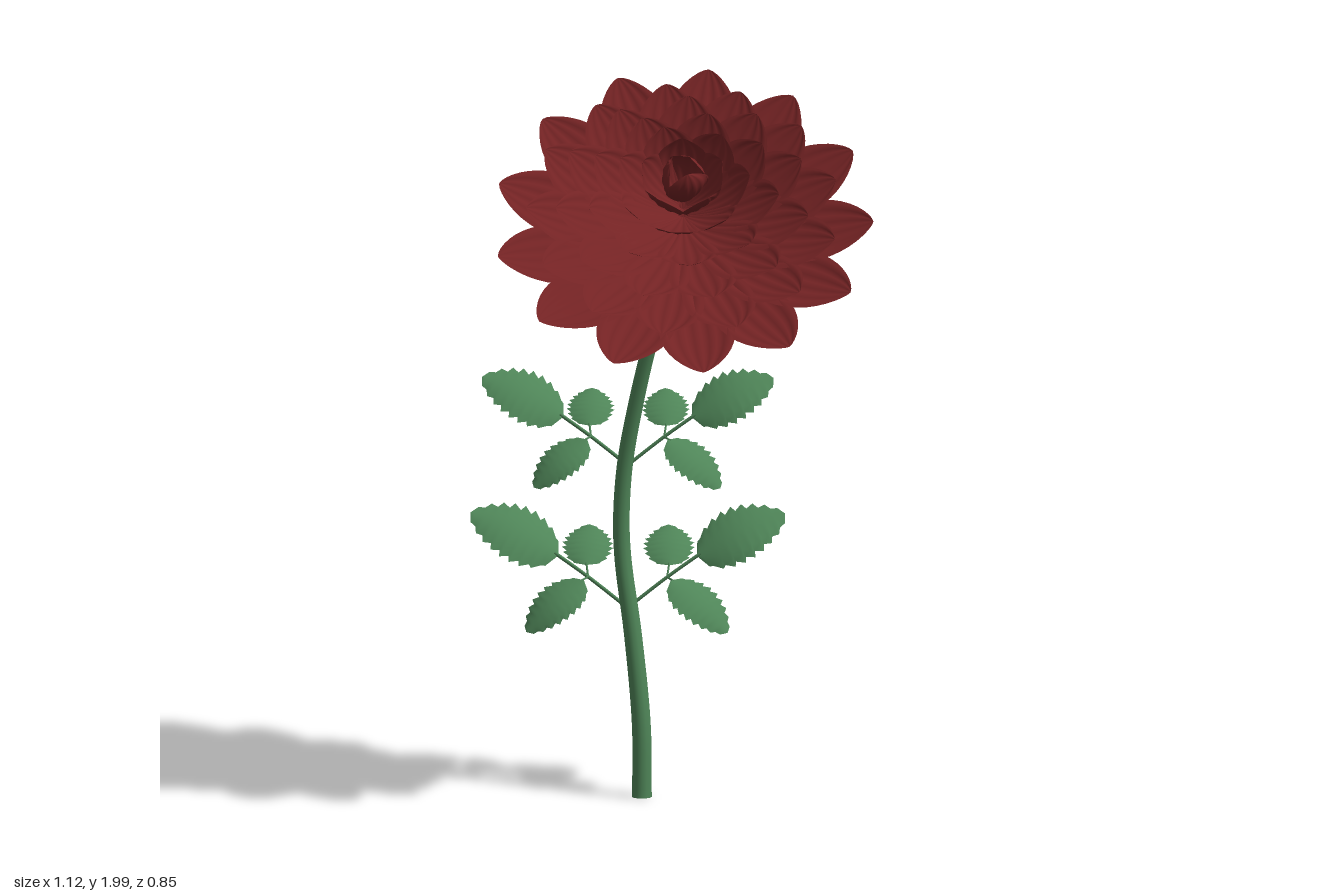
import * as THREE from 'three';

const red = new THREE.MeshStandardMaterial({ color: 0x742324, side: THREE.DoubleSide });
red.name = 'petal red';
const green = new THREE.MeshStandardMaterial({ color: 0x4f8558, side: THREE.DoubleSide });
green.name = 'leaf green';

const V = (x, y, z) => new THREE.Vector3(x, y, z);

// Smooth sheet from a rule: at(u in 0..1, v in -1..1) gives a point
function sheet(rows, cols, at) {
  const pos = [], index = [];
  for (let i = 0; i <= rows; i++) {
    for (let j = 0; j <= cols; j++) {
      pos.push(...at(i / rows, (j / cols) * 2 - 1, i).toArray());
      if (i < rows && j < cols) {
        const a = i * (cols + 1) + j, b = a + cols + 1;
        index.push(a, a + 1, b, a + 1, b + 1, b);
      }
    }
  }
  const g = new THREE.BufferGeometry();
  g.setAttribute('position', new THREE.Float32BufferAttribute(pos, 3));
  g.setIndex(index);
  g.computeVertexNormals();
  return g;
}

function add(parent, name, geometry, material) {
  const m = new THREE.Mesh(geometry, material);
  m.name = name;
  parent.add(m);
  return m;
}

// Tapered round stem along a curve
function taperedTube(points, r0, r1, segs) {
  const curve = new THREE.CatmullRomCurve3(points);
  const sides = 12;
  const g = new THREE.TubeGeometry(curve, segs, 1, sides, false);
  const p = g.attributes.position, c = V(), q = V();
  for (let i = 0; i <= segs; i++) {
    curve.getPointAt(i / segs, c);
    const r = r0 + (r1 - r0) * (i / segs);
    for (let j = 0; j <= sides; j++) {
      const k = i * (sides + 1) + j;
      q.fromBufferAttribute(p, k).sub(c).multiplyScalar(r).add(c);
      p.setXYZ(k, q.x, q.y, q.z);
    }
  }
  g.computeVertexNormals();
  return g;
}

// Cupped petal with lengthwise ridges, pointing along +x and rising in y
function petalGeometry({ tip, base, bend, width, cup }) {
  const curve = new THREE.QuadraticBezierCurve(
    new THREE.Vector2(0.01, base), new THREE.Vector2(...bend), new THREE.Vector2(...tip));
  return sheet(16, 20, (u, v) => {
    const t = 1 - Math.pow(1 - u, 1.7);
    const p = curve.getPoint(t), d = curve.getTangent(t);
    const w = width * Math.pow(Math.max(0, Math.sin(Math.PI * Math.pow(t, 1.55))), 0.66) + 0.012 * (1 - t);
    const lift = cup * w * v * v + 0.025 * w * Math.cos(v * Math.PI * 5);
    return V(p.x - d.y * lift, p.y + d.x * lift, v * w);
  });
}

// Toothed leaf from base to tip, facing along normal
function leafGeometry(base, tip, normal, halfWidth) {
  const along = tip.clone().sub(base);
  const side = along.clone().cross(normal).normalize();
  const up = side.clone().cross(along).normalize();
  const length = along.length(), teeth = 9;
  return sheet(teeth * 2, 8, (u, v, i) => {
    const outline = Math.pow(Math.max(0, Math.sin(Math.PI * Math.pow(u, 0.8))), 0.62);
    const w = halfWidth * outline * (i % 2 ? 1.08 : 0.88);
    const rise = length * 0.1 * Math.sin(Math.PI * u) - halfWidth * 0.22 * v * v * outline;
    return base.clone().addScaledVector(along, u + (i % 2 ? 0.03 * Math.abs(v) * outline : 0))
      .addScaledVector(side, v * w).addScaledVector(up, rise);
  });
}

// One branch with a large end leaf and two smaller side leaves
function leafBranch(origin, hand, scale) {
  const g = new THREE.Group();
  g.name = hand > 0 ? 'leftLeafBranch' : 'rightLeafBranch';
  const S = V(0.87, 0, -0.5).multiplyScalar(hand), F = V(0.5, 0, 0.87);
  const dir = (s, y, f) => V(0, y, 0).addScaledVector(S, s).addScaledVector(F, f);
  const at = (s, y, f) => dir(s, y, f).multiplyScalar(scale).add(origin);
  const stalk = (name, r, ...pts) =>
    add(g, name, new THREE.TubeGeometry(new THREE.CatmullRomCurve3(pts), 6, r, 6), green);
  const joint = at(0.1, 0.08, 0);
  stalk('branchStalk', 0.005, at(0, 0, 0), joint, at(0.185, 0.142, 0));
  stalk('lowerLeafStalk', 0.003, joint, at(0.115, 0.08, 0.042));
  stalk('backLeafStalk', 0.003, joint, at(0.105, 0.11, -0.03));
  const leaf = (name, a, b, n, w) =>
    add(g, name, leafGeometry(at(...a), at(...b), dir(...n), w * scale), green);
  leaf('endLeaf', [0.175, 0.135, 0], [0.398, 0.24, -0.03], [-0.3, 0.7, 0.65], 0.087);
  leaf('lowerLeaf', [0.11, 0.08, 0.04], [0.255, -0.045, 0.09], [0.5, 0.6, 0.6], 0.068);
  leaf('backLeaf', [0.105, 0.105, -0.025], [0.1, 0.18, -0.17], [0, 0.8, 0.6], 0.061);
  return g;
}

export function createModel() {
  const model = new THREE.Group();
  model.name = 'flower';

  // Stem
  const stemPoints = [
    V(-0.115, 0, -0.075), V(-0.12, 0.2, -0.08), V(-0.153, 0.45, -0.09), V(-0.187, 0.65, -0.095),
    V(-0.193, 0.76, -0.095), V(-0.18, 0.92, -0.092), V(-0.14, 1.1, -0.085), V(-0.09, 1.27, -0.075),
    V(-0.03, 1.43, -0.063), V(0.025, 1.57, -0.05)];
  add(model, 'stem', taperedTube(stemPoints, 0.027, 0.018, 60), green);
  const cap = add(model, 'stemEnd', new THREE.CircleGeometry(0.027, 12), green);
  cap.rotation.x = Math.PI / 2;
  cap.position.set(-0.115, 0.001, -0.075);

  // Leaf branches, two pairs
  for (const [y, scale] of [[0.92, 1], [0.52, 1.08]]) {
    for (const hand of [1, -1]) model.add(leafBranch(V(-0.174, y, -0.097), hand, scale));
  }

  // Bloom, rings of petals from the outside in
  const bloom = new THREE.Group();
  bloom.name = 'bloom';
  bloom.position.set(0.033, 1.575, -0.05);
  bloom.quaternion.setFromUnitVectors(V(0, 1, 0), V(0.33, 0.75, 0.57).normalize());
  model.add(bloom);
  const rings = [
    { count: 13, tip: [0.522, 0.1], base: 0.008, bend: [0.3, 0.005], width: 0.1, cup: 0.15 },
    { count: 13, tip: [0.43, 0.155], base: 0.03, bend: [0.27, 0.055], width: 0.092, cup: 0.15 },
    { count: 11, tip: [0.35, 0.205], base: 0.06, bend: [0.22, 0.1], width: 0.088, cup: 0.15 },
    { count: 9, tip: [0.265, 0.25], base: 0.09, bend: [0.18, 0.155], width: 0.08, cup: 0.18 },
    { count: 7, tip: [0.185, 0.292], base: 0.13, bend: [0.135, 0.205], width: 0.072, cup: 0.2 },
    { count: 5, tip: [0.115, 0.325], base: 0.17, bend: [0.1, 0.24], width: 0.066, cup: 0.25 },
    { count: 3, tip: [0.035, 0.355], base: 0.2, bend: [0.085, 0.29], width: 0.06, cup: 0.4 }];
  rings.forEach((ring, k) => {
    const geometry = petalGeometry(ring);
    for (let i = 0; i < ring.count; i++) {
      const petal = add(bloom, 'petal', geometry, red);
      petal.rotation.y = 1.49 + ((i + (k % 2) / 2) / ring.count) * Math.PI * 2;
    }
  });
  return model;
}
